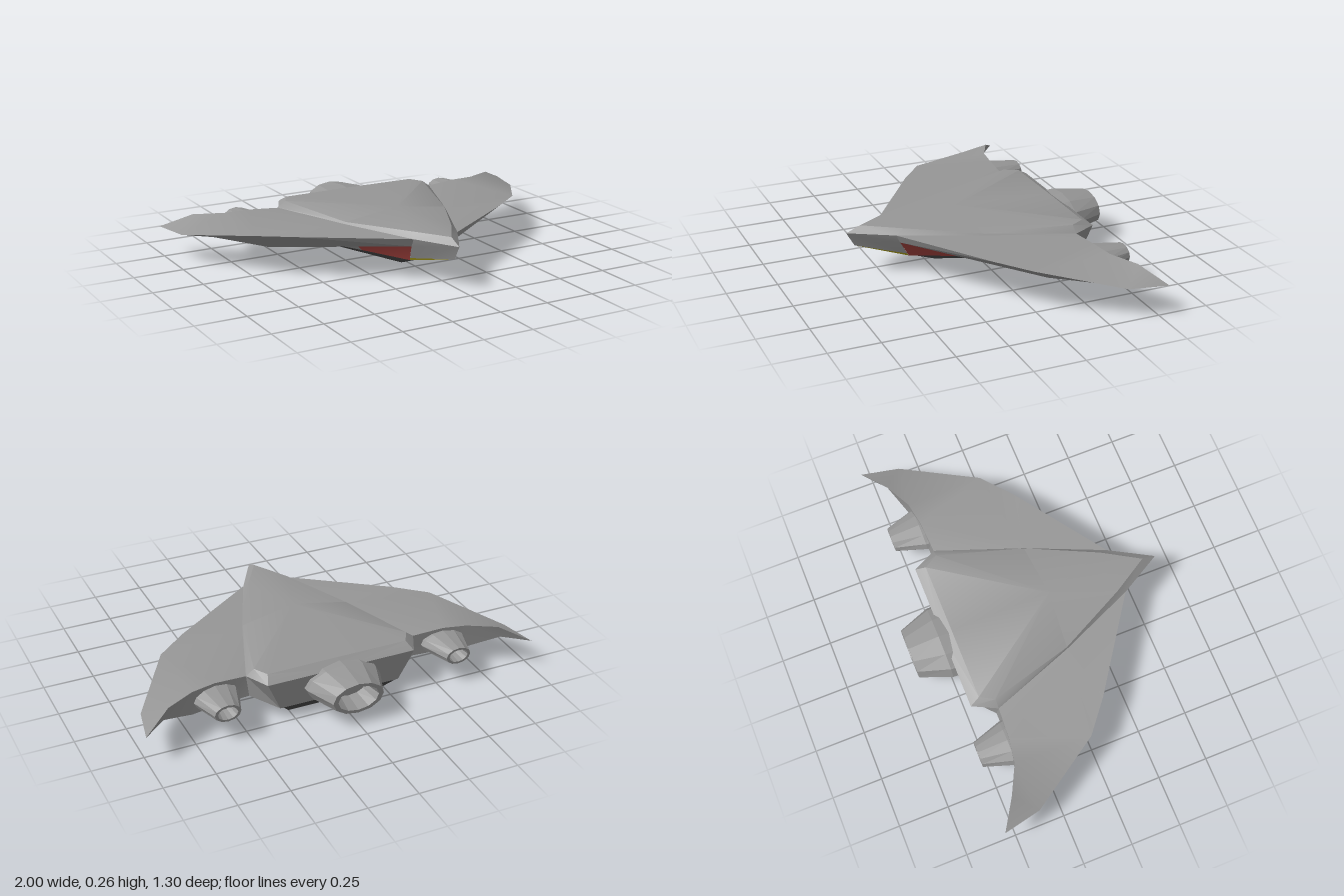
import * as THREE from 'three';
import { toCreasedNormals } from 'three/addons/utils/BufferGeometryUtils.js';

const GREY = 0x969696, RED = 0xa2413d, YELLOW = 0xaca01a, DARK = 0x4a4a4a;

// Panels from corner loops, each turned to face away from an inside point
function panels(name, color, inside, faces, sides = [1, -1]) {
  const pos = [], mid = new THREE.Vector3(...inside);
  for (const face of faces) {
    const p = face.map(c => new THREE.Vector3(...c));
    for (let i = 1; i < p.length - 1; i++) {
      const tri = new THREE.Triangle(p[0], p[i], p[i + 1]);
      const normal = tri.getNormal(new THREE.Vector3());
      const out = tri.getMidpoint(new THREE.Vector3()).sub(mid);
      const corners = normal.dot(out) < 0 ? [p[0], p[i + 1], p[i]] : [p[0], p[i], p[i + 1]];
      for (const s of sides) {
        const order = s > 0 ? corners : [...corners].reverse();
        for (const v of order) pos.push(v.x * s, v.y, v.z);
      }
    }
  }
  const geo = new THREE.BufferGeometry();
  geo.setAttribute('position', new THREE.Float32BufferAttribute(pos, 3));
  const mesh = new THREE.Mesh(toCreasedNormals(geo, 0.5), new THREE.MeshStandardMaterial({ color }));
  mesh.name = name;
  return mesh;
}

// Hollow nozzle, flattest at its front; profile is [radius, distance behind the start]
function nozzle(name, profile, x, y, z, flatFront, flatBack) {
  const geo = new THREE.LatheGeometry(profile.map(p => new THREE.Vector2(...p)), 12);
  geo.rotateX(-Math.PI / 2);
  const pos = geo.attributes.position, length = Math.max(...profile.map(p => p[1]));
  for (let i = 0; i < pos.count; i++) {
    pos.setY(i, pos.getY(i) * THREE.MathUtils.lerp(flatFront, flatBack, -pos.getZ(i) / length));
  }
  geo.translate(x, y, z);
  const mesh = new THREE.Mesh(geo, new THREE.MeshStandardMaterial({
    color: GREY, flatShading: true, side: THREE.DoubleSide }));
  mesh.name = name;
  return mesh;
}

// Deck corners
const deckTip = [0, 0.235, 0.58], ridge = [0, 0.26, 0.08], deckBack = [0, 0.237, -0.43];
const K1 = [0.11, 0.232, 0.4], K2 = [0.28, 0.215, 0.06], K3 = [0.4, 0.235, -0.36], K4 = [0.36, 0.235, -0.43];
// Hull waist, shared with the wing root
const nose = [0, 0.205, 0.65], M1 = [0.12, 0.205, 0.44], M2 = [0.285, 0.205, 0.06];
const M3 = [0.44, 0.205, -0.36], M4 = [0.38, 0.205, -0.48], waistBack = [0, 0.205, -0.48];
// Wing root underside
const A = [0.12, 0.165, 0.42], B = [0.24, 0.11, 0.075], C = [0.31, 0.085, -0.02], J = [0.43, 0.1, -0.37];
// Hull bottom edge and the hollow between
const chin = [0, 0.135, 0.61], Q = [0.103, 0.093, 0.378], P1 = [0.1, 0.08, 0.37];
const P2 = [0.2, 0.065, 0.075], P3 = [0.31, 0.05, -0.46];
const bottom1 = [0, 0.112, 0.37], bottom2 = [0, 0.07, 0.075], bottom3 = [0, 0.05, -0.46];
// Wing leading edge, tip, rear edge and underside
const L1 = [0.57, 0.2, 0.13], L2 = [0.73, 0.195, 0], L3 = [0.96, 0.14, -0.36], tip = [1, 0.14, -0.55];
const R2 = [0.6, 0.215, -0.37], R3 = [0.72, 0.21, -0.39], R4 = [0.86, 0.205, -0.46];
const D = [0.6, 0.085, -0.13], E = [0.84, 0.14, -0.25], G = [0.88, 0.14, -0.45];
const H = [0.72, 0.088, -0.39], I = [0.6, 0.09, -0.37];

function createHull() {
  const hull = new THREE.Group(), inside = [0, 0.14, -0.1], above = [0, 5, 0];
  hull.name = 'hull';
  hull.add(
    panels('deck', GREY, inside, [
      [ridge, deckTip, K1, K2], [ridge, K2, K3, K4, deckBack],
      [deckTip, K1, M1, nose], [K1, K2, M2, M1], [K2, K3, M3, M2],
      [K3, K4, M4, M3], [K4, deckBack, waistBack, M4],
    ]),
    panels('hullSides', GREY, inside, [
      [nose, M1, A], [nose, A, Q, chin], [B, C, P2], [C, J, P3, P2],
      [M3, M4, P3, J], [M4, waistBack, bottom3, P3],
    ]),
    panels('noseSidePanels', RED, inside, [[A, B, P2, P1]]),
    panels('hullUnderside', YELLOW, above, [
      [chin, Q, P1], [chin, P1, bottom1], [P1, P2, bottom2, bottom1], [P2, P3, bottom3, bottom2],
    ]),
  );
  return hull;
}

// Dark keel block below the hull
function createBelly() {
  const prow = [0, 0.112, 0.375], shoulder = [0.09, 0.08, 0.362], topBack = [0.295, 0.05, -0.46];
  const foot = [0.06, 0.02, 0.22], footBack = [0.25, 0, -0.42];
  const centre = p => [0, p[1], p[2]];
  return panels('belly', DARK, [0, 0.06, -0.1], [
    [prow, shoulder, foot, centre(foot)], [shoulder, topBack, footBack, foot],
    [foot, footBack, centre(footBack), centre(foot)],
    [topBack, centre(topBack), centre(footBack), footBack],
  ]);
}

function createWing(side) {
  const wing = new THREE.Group();
  const above = [0.6, 5, -0.2], below = [0.6, -5, -0.2], ahead = [0.6, 0.15, 5];
  wing.name = side > 0 ? 'leftWing' : 'rightWing';
  const add = (name, color, inside, faces) => wing.add(panels(name, color, inside, faces, [side]));
  add('wingTop', GREY, below, [
    [M1, L1, M2], [L1, L2, M2], [M2, L2, R2, M3], [L2, R3, R2],
    [L2, L3, R3], [L3, R4, R3], [L3, tip, R4],
  ]);
  add('wingFrontUnderside', GREY, above, [
    [M1, L1, A], [A, L1, D], [L1, L2, D], [L2, E, D], [L2, L3, E], [A, D, C, B],
  ]);
  add('wingRearEdge', GREY, ahead, [[M3, R2, I, J], [R2, R3, H, I], [R3, R4, G, H], [R4, tip, G]]);
  add('wingUndersidePanel', RED, above, [[C, D, H, I, J], [D, E, G, H]]);
  add('wingTipPanel', YELLOW, above, [[E, L3, tip, G]]);
  // Wing engine
  wing.add(nozzle('wingEngine',
    [[0.122, 0], [0.115, 0.04], [0.065, 0.19], [0.05, 0.19], [0.04, 0.12], [0, 0.12]],
    side * 0.6, 0.145, -0.34, 0.44, 0.66));
  return wing;
}

export function createModel() {
  const model = new THREE.Group();
  model.name = 'spacecraft';
  model.add(createHull(), createBelly(), createWing(1), createWing(-1));
  model.add(nozzle('mainEngine',
    [[0.195, 0], [0.19, 0.08], [0.13, 0.235], [0.105, 0.235], [0.085, 0.13], [0, 0.13]],
    0, 0.138, -0.42, 0.44, 0.6));
  return model;
}
